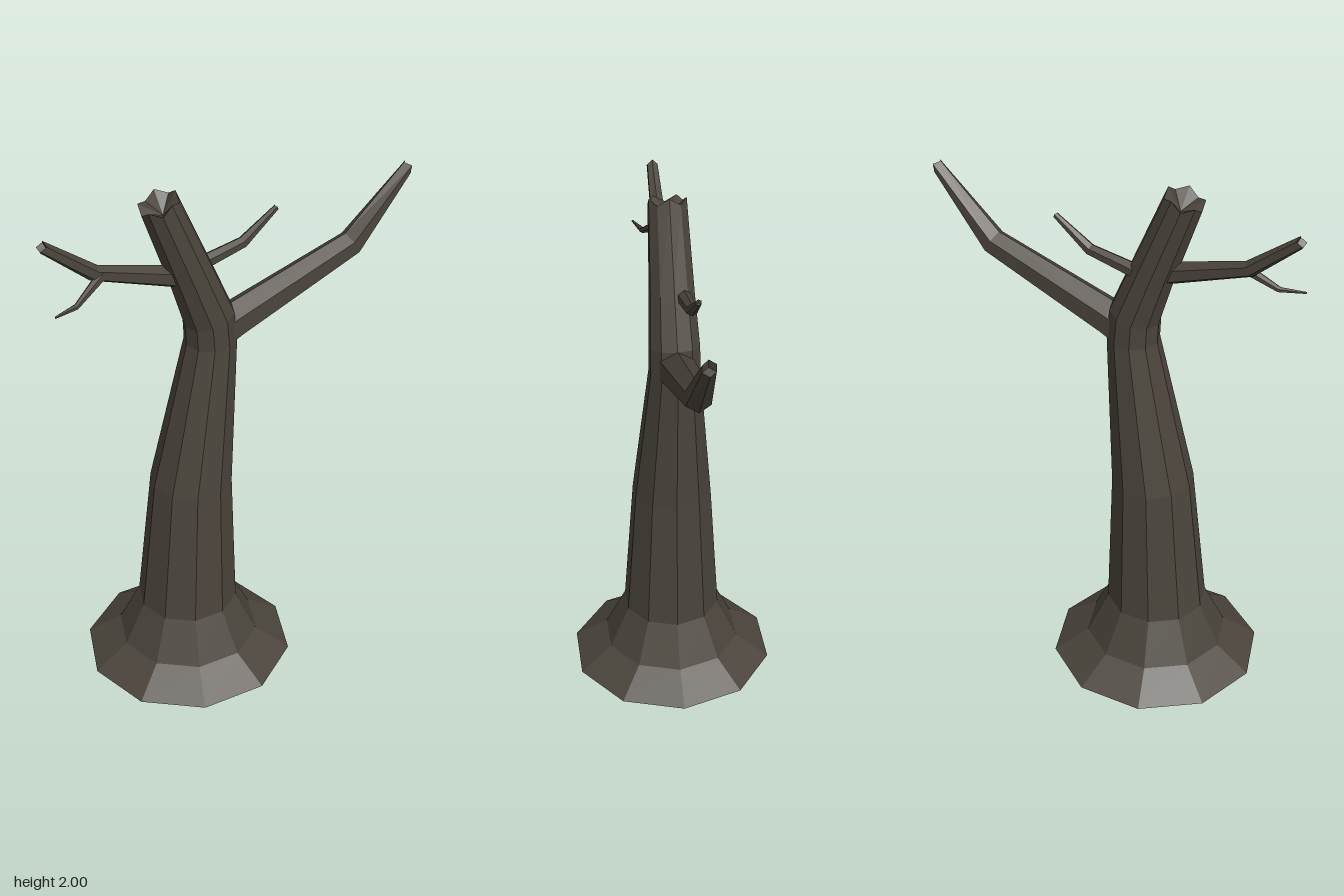
import * as THREE from 'three';

const bark = new THREE.MeshStandardMaterial({ color: 0x4a443b, flatShading: true });

// Faceted limb through rings [x, y, z, radius, tilt]; tilt is the lean of the ring's
// axis from vertical towards +x in degrees. The tip is ragged (jag) and hollowed (dip).
function limb(name, rings, sides, jag = 0, dip = 0) {
  const last = rings.length - 1;
  const loops = rings.map(([x, y, z, r, tilt], k) => {
    const t = THREE.MathUtils.degToRad(tilt);
    const axis = new THREE.Vector3(Math.sin(t), Math.cos(t), 0);
    const across = new THREE.Vector3(Math.cos(t), -Math.sin(t), 0);
    const centre = new THREE.Vector3(x, y, z);
    const points = [];
    for (let i = 0; i < sides; i++) {
      const a = (i / sides) * Math.PI * 2;
      const p = centre.clone().addScaledVector(across, r * Math.cos(a));
      p.z += r * Math.sin(a);
      if (k === last) p.addScaledVector(axis, i % 2 ? -jag : jag);
      points.push(p);
    }
    if (k === last) centre.addScaledVector(axis, -dip);
    return { points, centre };
  });

  const pos = [];
  const tri = (...corners) => corners.forEach((c) => pos.push(c.x, c.y, c.z));
  for (let i = 0; i < sides; i++) {
    const j = (i + 1) % sides;
    for (let k = 0; k < last; k++) {
      const lo = loops[k].points, hi = loops[k + 1].points;
      tri(lo[i], hi[i], lo[j]);
      tri(lo[j], hi[i], hi[j]);
    }
    tri(loops[0].centre, loops[0].points[i], loops[0].points[j]);
    tri(loops[last].centre, loops[last].points[j], loops[last].points[i]);
  }
  const geo = new THREE.BufferGeometry();
  geo.setAttribute('position', new THREE.Float32BufferAttribute(pos, 3));
  geo.computeVertexNormals();
  const mesh = new THREE.Mesh(geo, bark);
  mesh.name = name;
  return mesh;
}

export function createModel() {
  const tree = new THREE.Group();
  tree.name = 'deadTree';

  // Trunk with flared foot, bent at the fork and snapped off at the top
  tree.add(limb('trunk', [
    [-0.205, 0, 0, 0.4, 0],
    [-0.205, 0.09, 0, 0.27, 0],
    [-0.205, 0.255, 0, 0.19, 0],
    [-0.18, 0.8, 0, 0.153, 0],
    [-0.093, 1.38, 0, 0.096, 0],
    [-0.1, 1.48, 0, 0.095, -14],
    [-0.165, 1.66, 0, 0.084, -18],
    [-0.283, 1.967, 0, 0.071, -18],
  ], 10, 0.012, 0.05));

  // Large branch on the left
  tree.add(limb('largeBranch', [
    [-0.08, 1.4, 0, 0.075, 70],
    [0, 1.434, 0, 0.07, 75],
    [0.483, 1.615, 0, 0.05, 62],
    [0.712, 1.862, 0, 0.027, 70],
  ], 6, 0.008, 0.02));

  // Small branch on the left, set slightly back
  tree.add(limb('smallBranch', [
    [-0.16, 1.66, -0.035, 0.03, 80],
    [0.06, 1.71, -0.04, 0.022, 68],
    [0.196, 1.812, -0.043, 0.011, 55],
  ], 6, 0.002, 0.005));

  // Forked branch on the right
  tree.add(limb('forkedBranch', [
    [-0.2, 1.665, 0, 0.043, -72],
    [-0.53, 1.77, 0, 0.03, -62],
    [-0.709, 1.915, 0, 0.022, -62],
  ], 6, 0.007, 0.018));

  // Thin twig off the forked branch
  tree.add(limb('twig', [
    [-0.5, 1.765, 0.01, 0.02, -115],
    [-0.62, 1.69, 0.05, 0.011, -105],
    [-0.708, 1.688, 0.077, 0.004, -90],
  ], 6));

  return tree;
}
